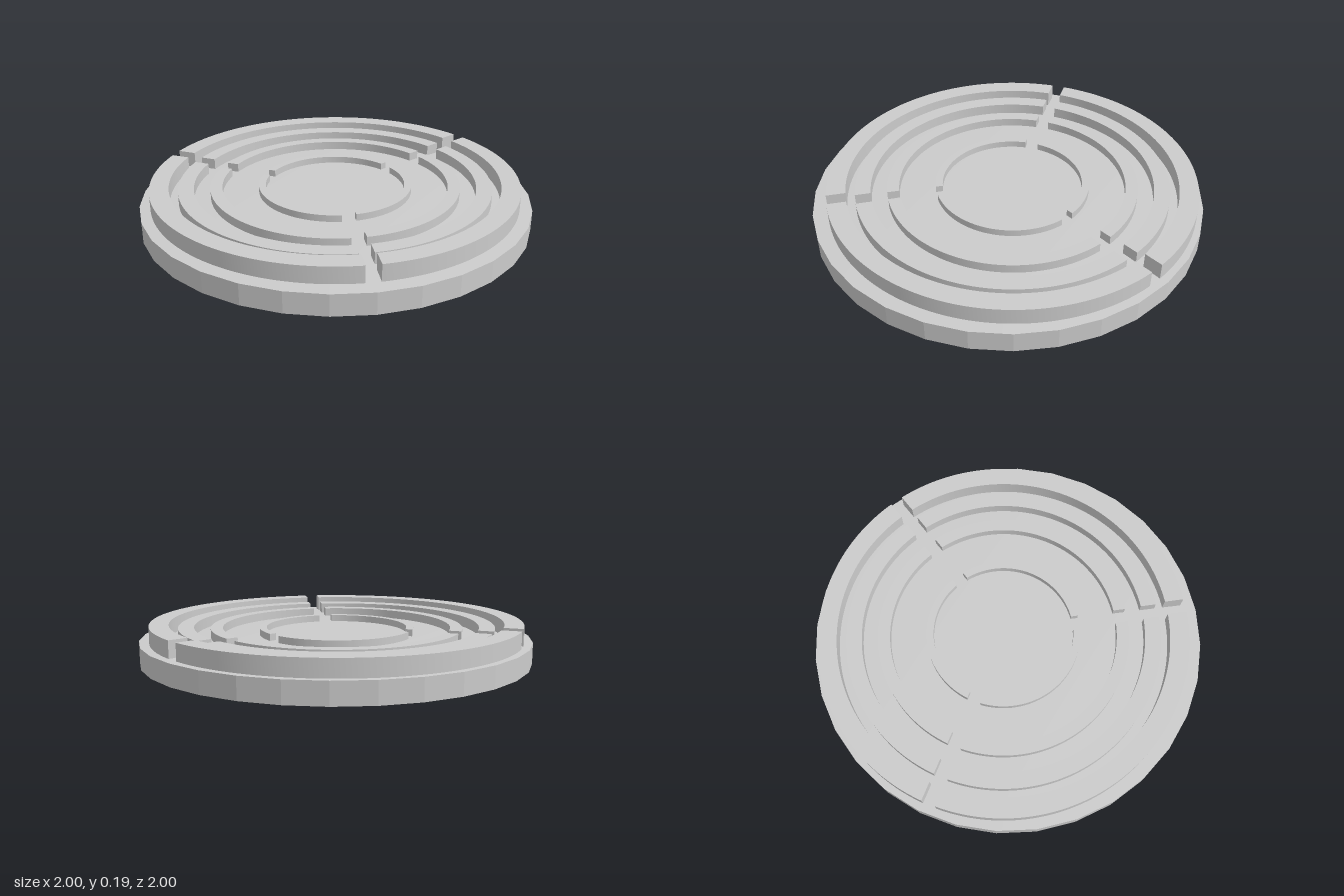
import * as THREE from 'three';
import { toCreasedNormals } from 'three/addons/utils/BufferGeometryUtils.js';

const GAP = 0.035;      // half width of the radial slots
const CENTRE_Z = -0.023; // rings sit slightly behind the base centre
const material = new THREE.MeshStandardMaterial({ color: 0xcccccc });

// One third of a ring, its ends cut parallel to the slots
function ringSegment(inner, outer, top, slotAngle) {
  const bottom = 0.105, third = Math.PI * 2 / 3;
  const a = Math.asin(GAP / outer), b = Math.asin(GAP / inner);
  const shape = new THREE.Shape();
  shape.absarc(0, 0, outer, slotAngle + a, slotAngle + third - a, false);
  shape.absarc(0, 0, inner, slotAngle + third - b, slotAngle + b, true);
  shape.closePath();
  const geometry = new THREE.ExtrudeGeometry(shape, {
    depth: top - bottom, bevelEnabled: false, curveSegments: 40,
  });
  geometry.rotateX(-Math.PI / 2).translate(0, bottom, CENTRE_Z);
  return new THREE.Mesh(toCreasedNormals(geometry, 0.5), material);
}

export function createModel() {
  const model = new THREE.Group();
  model.name = 'ringedDisc';

  // Faceted base with a very shallow domed top
  const profile = [new THREE.Vector2(0, 0), new THREE.Vector2(1, 0)];
  for (let i = 0; i <= 8; i++) {
    const r = 1 - i / 8;
    profile.push(new THREE.Vector2(r, 0.107 + 0.018 * (1 - r * r)));
  }
  const base = new THREE.Mesh(
    toCreasedNormals(new THREE.LatheGeometry(profile, 32), 0.09), material);
  base.name = 'base';
  model.add(base);

  // Concentric split rings: inner radius, outer radius, top height
  const rings = [
    ['outerRing', 0.85, 0.947, 0.193],
    ['secondRing', 0.726, 0.806, 0.172],
    ['thirdRing', 0.5825, 0.644, 0.163],
    ['innerRing', 0.36, 0.396, 0.157],
  ];
  for (const [name, inner, outer, top] of rings) {
    const ring = new THREE.Group();
    ring.name = name;
    for (let i = 0; i < 3; i++) {
      const segment = ringSegment(inner, outer, top, -Math.PI / 2 + i * Math.PI * 2 / 3);
      segment.name = `${name}Segment${i + 1}`;
      ring.add(segment);
    }
    model.add(ring);
  }
  return model;
}
